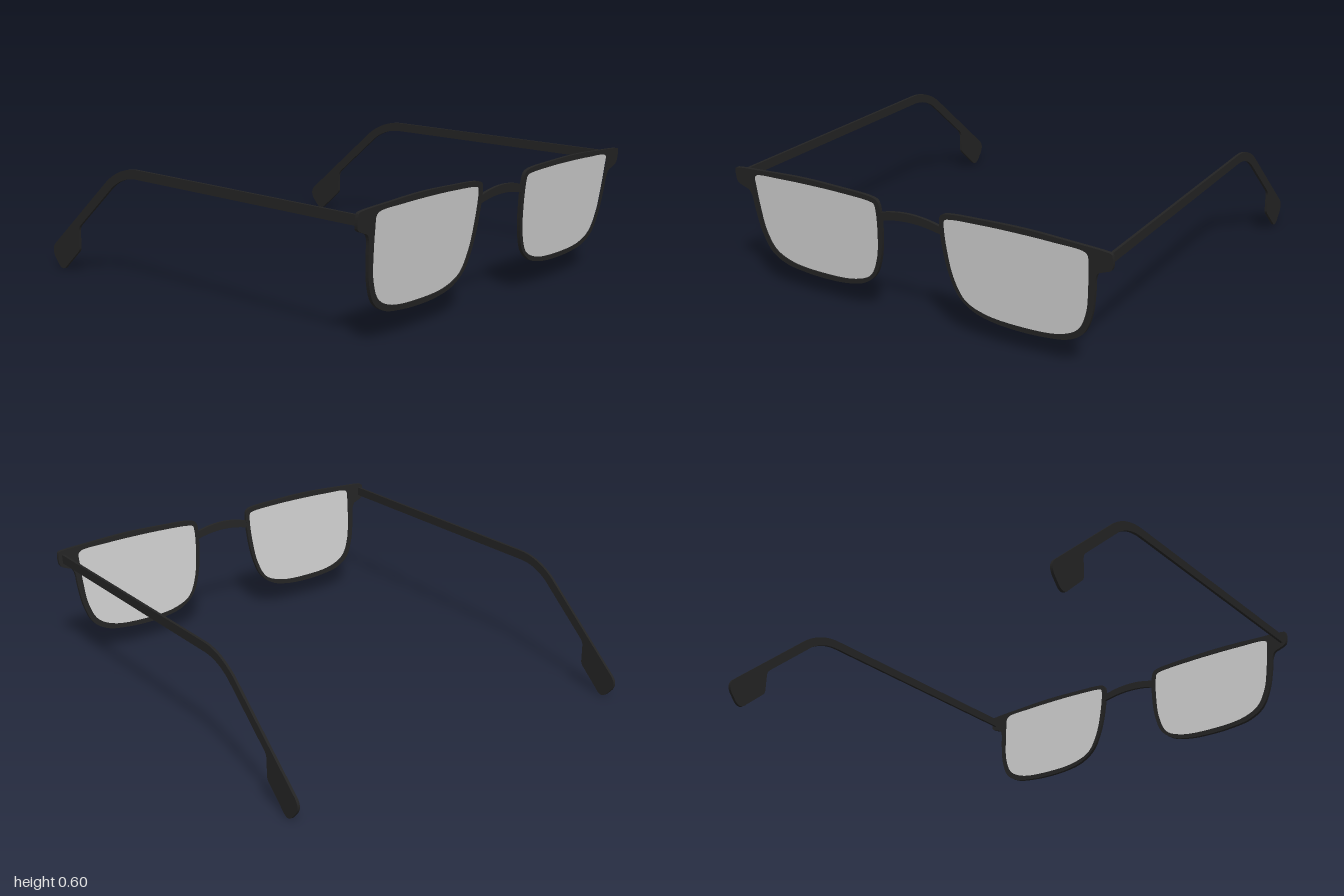
import * as THREE from 'three';
import { toCreasedNormals } from 'three/addons/utils/BufferGeometryUtils.js';

const frameMaterial = new THREE.MeshStandardMaterial({ color: 0x232323 });
const lensMaterial = new THREE.MeshStandardMaterial({ color: 0xc4c4c4 });

// outline of one rim with its hinge block, and of its opening (x, y)
const RIM = [
  [0.152, 0.545], [0.161, 0.57], [0.186, 0.582], [0.364, 0.593], [0.567, 0.597], [0.77, 0.588],
  [0.92, 0.579], [0.944, 0.574], [0.949, 0.562], [0.949, 0.52], [0.942, 0.502], [0.913, 0.488],
  [0.885, 0.476], [0.872, 0.45], [0.866, 0.385], [0.847, 0.27], [0.807, 0.18], [0.735, 0.132],
  [0.62, 0.112], [0.506, 0.107], [0.39, 0.114], [0.288, 0.14], [0.216, 0.198], [0.176, 0.295],
  [0.155, 0.42],
];
const OPENING = [
  [0.174, 0.53], [0.18, 0.553], [0.205, 0.561], [0.35, 0.569], [0.506, 0.571], [0.68, 0.568],
  [0.825, 0.559], [0.841, 0.545], [0.842, 0.5], [0.837, 0.397], [0.822, 0.28], [0.781, 0.193],
  [0.695, 0.148], [0.506, 0.132], [0.338, 0.146], [0.247, 0.188], [0.2, 0.28], [0.177, 0.42],
];
// the lens reaches slightly into the rim
const LENS = OPENING.map(([x, y]) => [0.508 + (x - 0.508) * 1.02, 0.352 + (y - 0.352) * 1.03]);

// smooth closed curve through points, mirrored by side
function smoothLoop(points, side) {
  const curve = new THREE.CatmullRomCurve3(
    points.map(([x, y]) => new THREE.Vector3(side * x, y, 0)), true, 'centripetal');
  return curve.getPoints(140).slice(0, -1).map((p) => new THREE.Vector2(p.x, p.y));
}

function slab(shape, depth) {
  const geometry = new THREE.ExtrudeGeometry(shape, { depth, bevelEnabled: false, curveSegments: 16 });
  return geometry.translate(0, 0, -depth / 2);
}

// lean a front part so that its top is further forward
function lean(geometry) {
  const tilt = 0.115;
  const matrix = new THREE.Matrix4().set(
    1, 0, 0, 0,
    0, 1, 0, 0,
    0, tilt, 1, 0.992 - tilt * 0.597,
    0, 0, 0, 1);
  return geometry.applyMatrix4(matrix);
}

function part(name, geometry, material) {
  const mesh = new THREE.Mesh(toCreasedNormals(geometry, 0.6), material);
  mesh.name = name;
  return mesh;
}

// temple arm in side profile (z, y), ending in a wider ear tip
function templeShape() {
  const s = new THREE.Shape();
  s.moveTo(0.99, 0.56);
  s.lineTo(-0.34, 0.56);
  s.quadraticCurveTo(-0.455, 0.558, -0.555, 0.483);
  s.lineTo(-0.98, 0.117);
  s.quadraticCurveTo(-1.014, 0.085, -0.985, 0.045);
  s.lineTo(-0.96, 0.016);
  s.quadraticCurveTo(-0.927, -0.018, -0.895, 0.018);
  s.lineTo(-0.8, 0.102);
  s.quadraticCurveTo(-0.788, 0.113, -0.788, 0.13);
  s.lineTo(-0.787, 0.205);
  s.quadraticCurveTo(-0.787, 0.225, -0.77, 0.24);
  s.lineTo(-0.52, 0.455);
  s.quadraticCurveTo(-0.44, 0.516, -0.34, 0.516);
  s.lineTo(0.98, 0.516);
  s.closePath();
  return s;
}

export function createModel() {
  const glasses = new THREE.Group();
  glasses.name = 'glasses';

  for (const [label, side] of [['left', 1], ['right', -1]]) {
    // rim with hinge block
    const rim = new THREE.Shape(smoothLoop(RIM, side));
    rim.holes.push(new THREE.Path(smoothLoop(OPENING, side)));
    glasses.add(part(label + 'Rim', lean(slab(rim, 0.016)), frameMaterial));

    // lens
    const lens = new THREE.Shape(smoothLoop(LENS, side));
    glasses.add(part(label + 'Lens', lean(slab(lens, 0.005)), lensMaterial));

    // temple arm, closing in slightly towards the back
    const arm = slab(templeShape(), 0.012).rotateY(-Math.PI / 2 + side * 0.003);
    glasses.add(part(label + 'Temple', arm.translate(side * 0.921, 0, 0), frameMaterial));
  }

  // arched bridge between the rims
  const bridge = new THREE.Shape();
  bridge.moveTo(-0.16, 0.514);
  bridge.quadraticCurveTo(0, 0.566, 0.16, 0.514);
  bridge.lineTo(0.16, 0.477);
  bridge.quadraticCurveTo(0, 0.523, -0.16, 0.477);
  bridge.closePath();
  glasses.add(part('bridge', lean(slab(bridge, 0.014)), frameMaterial));

  return glasses;
}
